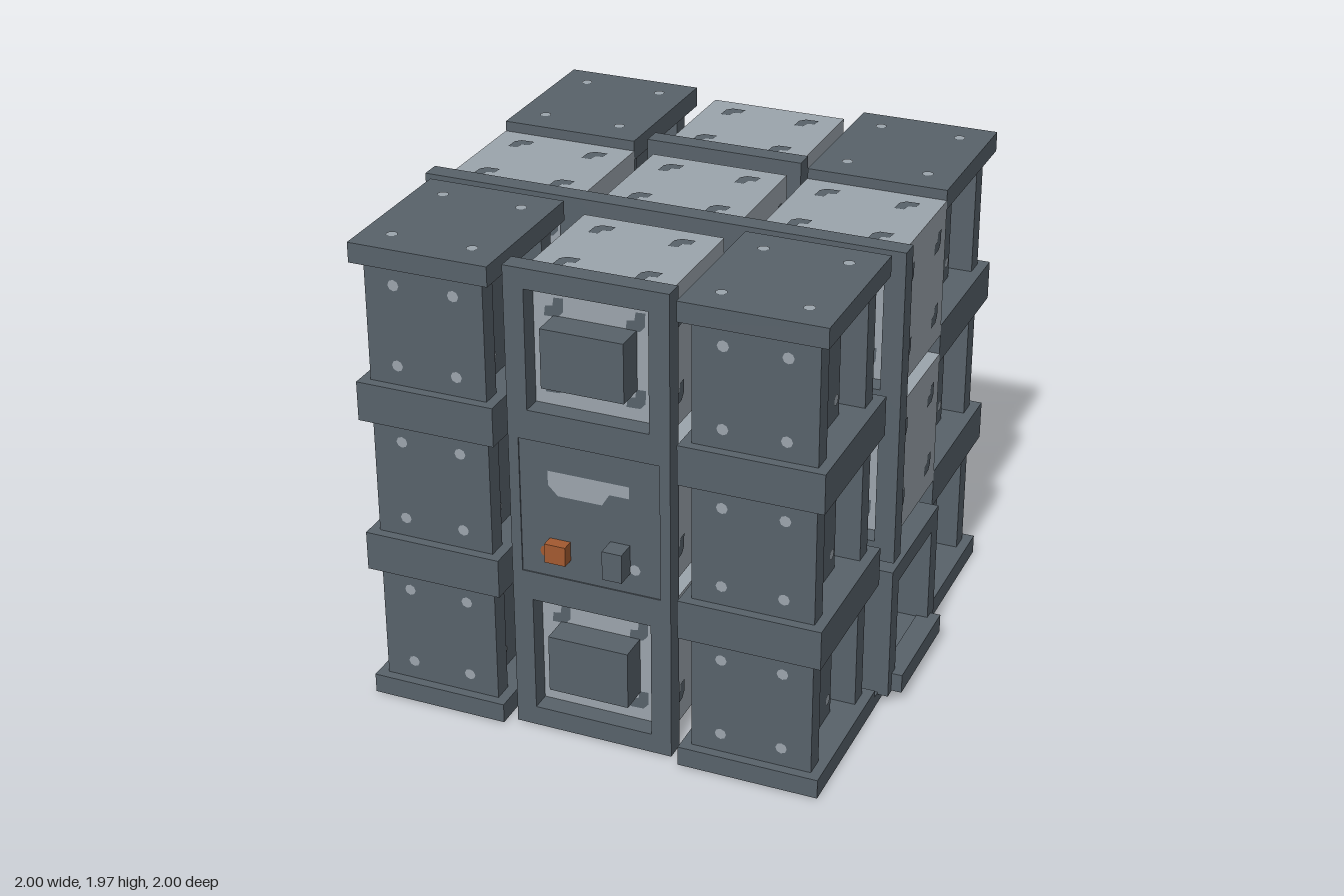
import * as THREE from 'three';

const mat = (name, color) => new THREE.MeshStandardMaterial({ name, color });

export function createModel() {
  const dark = mat('dark steel', 0x58626a);
  const light = mat('light steel', 0x9ca5ad);
  const orange = mat('copper orange', 0xa35a30);
  const model = new THREE.Group();
  model.name = 'machine';

  const X = [-0.675, -0.022, 0.632];
  const Y = [0.327, 0.98, 1.633];
  // rotations that turn a +z facing sheet to each side of a block
  const FACES = {
    front: [0, 0], back: [0, Math.PI], right: [0, Math.PI / 2],
    left: [0, -Math.PI / 2], top: [-Math.PI / 2, 0], bottom: [Math.PI / 2, 0],
  };

  function add(parent, name, geo, material, x = 0, y = 0, z = 0) {
    const m = new THREE.Mesh(geo, material);
    m.name = name;
    m.position.set(x, y, z);
    parent.add(m);
    return m;
  }
  // box given by its limits
  function box(parent, name, m, x0, x1, y0, y1, z0, z1) {
    return add(parent, name, new THREE.BoxGeometry(x1 - x0, y1 - y0, z1 - z0), m,
      (x0 + x1) / 2, (y0 + y1) / 2, (z0 + z1) / 2);
  }
  // rectangular frame in the xy plane, extruded along +z
  function frameGeo(w, h, iw, ih, depth) {
    const s = new THREE.Shape([[-1, -1], [1, -1], [1, 1], [-1, 1]]
      .map(([a, b]) => new THREE.Vector2(a * w / 2, b * h / 2)));
    s.holes.push(new THREE.Path([[-1, -1], [-1, 1], [1, 1], [1, -1]]
      .map(([a, b]) => new THREE.Vector2(a * iw / 2, b * ih / 2))));
    return new THREE.ExtrudeGeometry(s, { depth, bevelEnabled: false });
  }
  const poly = (pts) => new THREE.ShapeGeometry(new THREE.Shape(pts.map(p => new THREE.Vector2(...p))));
  const dotGeo = new THREE.CircleGeometry(0.023, 8);
  const hookGeo = poly([[-0.04, -0.04], [0.015, -0.038], [0.036, -0.015], [0.038, 0.04],
    [0.0, 0.038], [-0.005, 0.005], [-0.035, 0.0]]);

  // four marks on one side of a block
  function marks(parent, name, geo, m, face, cx, cy, cz, dist, du, dv, turn = 0) {
    const g = new THREE.Group();
    g.name = name;
    g.position.set(cx, cy, cz);
    g.rotation.set(FACES[face][0], FACES[face][1], 0);
    for (const u of [-du, du]) for (const v of [-dv, dv])
      add(g, name, geo, m, u, v, dist + 0.003).rotation.z = turn;
    parent.add(g);
  }

  // light block with hook marks; z0 is its back
  function lightBlock(parent, cx, cy, z0) {
    const cz = z0 + 0.267;
    box(parent, 'lightBlock', light, cx - 0.285, cx + 0.285, cy - 0.285, cy + 0.285, z0, z0 + 0.535);
    for (const f of Object.keys(FACES)) {
      const dist = f === 'front' || f === 'back' ? 0.267 : 0.285;
      marks(parent, 'hookMark', hookGeo, dark, f, cx, cy, cz, dist, 0.162, 0.155, f === 'top' ? Math.PI : 0);
    }
  }

  // light block with a framed front and a raised knob
  function framedModule(cx, cy, z0) {
    const g = new THREE.Group();
    g.name = 'framedModule';
    lightBlock(g, cx, cy, z0);
    add(g, 'frame', frameGeo(0.654, 0.654, 0.49, 0.49, 0.08), dark, cx, cy, z0 + 0.535);
    box(g, 'knob', dark, cx - 0.165, cx + 0.165, cy - 0.12, cy + 0.12, z0 + 0.5, z0 + 0.655);
    model.add(g);
  }
  for (const [i, j, z0] of [
    [1, 0, 0.31], [1, 2, 0.31],
    [0, 0, -0.345], [0, 2, -0.345], [1, 2, -0.345], [2, 1, -0.345], [2, 2, -0.345],
    [1, 0, -1], [1, 1, -1], [1, 2, -1],
  ]) framedModule(X[i], Y[j], z0);

  // corner columns: three caged segments each
  function columnSegment(cx, cy, cz) {
    const g = new THREE.Group();
    g.name = 'columnSegment';
    for (const s of [-1, 1]) {
      const py = cy + s * 0.286;
      box(g, 'endPlate', dark, cx - 0.284, cx + 0.284, py - 0.0405, py + 0.0405, cz - 0.327, cz + 0.327);
      const pz = cz + s * 0.247;
      box(g, 'wall', dark, cx - 0.243, cx + 0.243, cy - 0.246, cy + 0.246, pz - 0.041, pz + 0.041);
    }
    box(g, 'core', dark, cx - 0.09, cx + 0.09, cy - 0.246, cy + 0.246, cz - 0.21, cz + 0.21);
    box(g, 'middlePost', dark, cx - 0.17, cx + 0.17, cy - 0.246, cy + 0.246, cz - 0.123, cz + 0.123);
    for (const f of ['front', 'back']) marks(g, 'bolt', dotGeo, light, f, cx, cy, cz, 0.288, 0.123, 0.165);
    for (const f of ['right', 'left']) marks(g, 'bolt', dotGeo, light, f, cx, cy, cz, 0.17, 0.083, 0.165);
    for (const f of ['top', 'bottom']) marks(g, 'bolt', dotGeo, light, f, cx, cy, cz, 0.3265, 0.165, 0.203);
    model.add(g);
  }
  for (const cx of [X[0], X[2]]) for (const cz of [-0.673, 0.637]) for (const cy of Y)
    columnSegment(cx, cy, cz);

  // control panel at the middle of the front
  const panel = new THREE.Group();
  panel.name = 'controlPanel';
  lightBlock(panel, X[1], Y[1], 0.31);
  add(panel, 'panelFrame', frameGeo(0.654, 0.654, 0.57, 0.57, 0.08), dark, X[1], Y[1], 0.845);
  box(panel, 'door', dark, -0.307, 0.263, 0.695, 1.265, 0.84, 0.92);
  add(panel, 'displayPlate', poly([[-0.19, 1.15], [-0.19, 1.09], [-0.15, 1.05], [0.03, 1.05],
    [0.06, 1.1], [0.14, 1.1], [0.14, 1.15]]), light, 0, 0, 0.924);
  box(panel, 'orangeButton', orange, -0.19, -0.105, 0.78, 0.86, 0.9, 0.97);
  box(panel, 'lever', dark, 0.06, 0.14, 0.78, 0.9, 0.9, 1.0);
  add(panel, 'orangeMark', new THREE.CircleGeometry(0.025, 8), orange, -0.205, 0.8, 0.924);
  add(panel, 'lightMark', dotGeo, light, 0.16, 0.8, 0.924);
  model.add(panel);

  // vent module at the middle of the -x side
  const vent = new THREE.Group();
  vent.name = 'ventModule';
  box(vent, 'ventBlock', light, -0.9, -0.39, Y[1] - 0.285, Y[1] + 0.285, -0.34, 0.23);
  box(vent, 'backPlate', dark, -0.39, -0.35, 0.695, 1.265, -0.34, 0.23);
  const turn = (m) => { m.rotation.y = -Math.PI / 2; return m; };
  turn(add(vent, 'outerRing', frameGeo(0.654, 0.654, 0.5, 0.5, 0.08), light, -0.88, Y[1], -0.02));
  turn(add(vent, 'innerRing', frameGeo(0.5, 0.5, 0.36, 0.36, 0.03), dark, -0.9, Y[1], -0.02));
  box(vent, 'nozzle', light, -1, -0.88, 0.9, 1.07, -0.1, 0.065);
  box(vent, 'nozzleSlot', dark, -1.0, -0.95, 0.95, 0.98, -0.104, 0.069);
  model.add(vent);

  // hearth with a deep opening at the bottom of the +x side
  const hearth = new THREE.Group();
  hearth.name = 'hearth';
  box(hearth, 'basePlate', dark, 0.3, 0.915, 0, 0.05, -0.345, 0.31);
  const wall = [[-0.3, -0.22], [0.19, 0.27]];
  for (const [a, b] of wall) box(hearth, 'sideWall', dark, 0.45, 0.957, 0.04, 0.61, a, b);
  box(hearth, 'roof', dark, 0.45, 0.957, 0.53, 0.61, -0.22, 0.19);
  box(hearth, 'floor', dark, 0.45, 0.957, 0.04, 0.12, -0.22, 0.19);
  box(hearth, 'backWall', dark, 0.3, 0.45, 0.04, 0.61, -0.3, 0.27);
  box(hearth, 'lip', dark, 0.91, 1.0, 0.045, 0.125, -0.26, 0.23);
  const glow = add(hearth, 'ember', poly([[-0.07, 0.33], [-0.06, 0.29], [-0.03, 0.285], [-0.01, 0.25],
    [0.03, 0.25], [0.05, 0.285], [0.09, 0.3], [0.09, 0.33], [0.03, 0.32], [0.02, 0.335], [-0.03, 0.33]]),
    orange, 0.454, 0, 0);
  const spout = add(hearth, 'spout', poly([[-0.025, 0.33], [0.025, 0.33], [0.025, 0.42], [-0.025, 0.42]]),
    light, 0.453, 0, 0);
  glow.rotation.y = spout.rotation.y = Math.PI / 2;
  marks(hearth, 'bolt', dotGeo, light, 'bottom', X[2], 0.3265, -0.018, 0.3265, 0.165, 0.203);
  model.add(hearth);

  return model;
}
